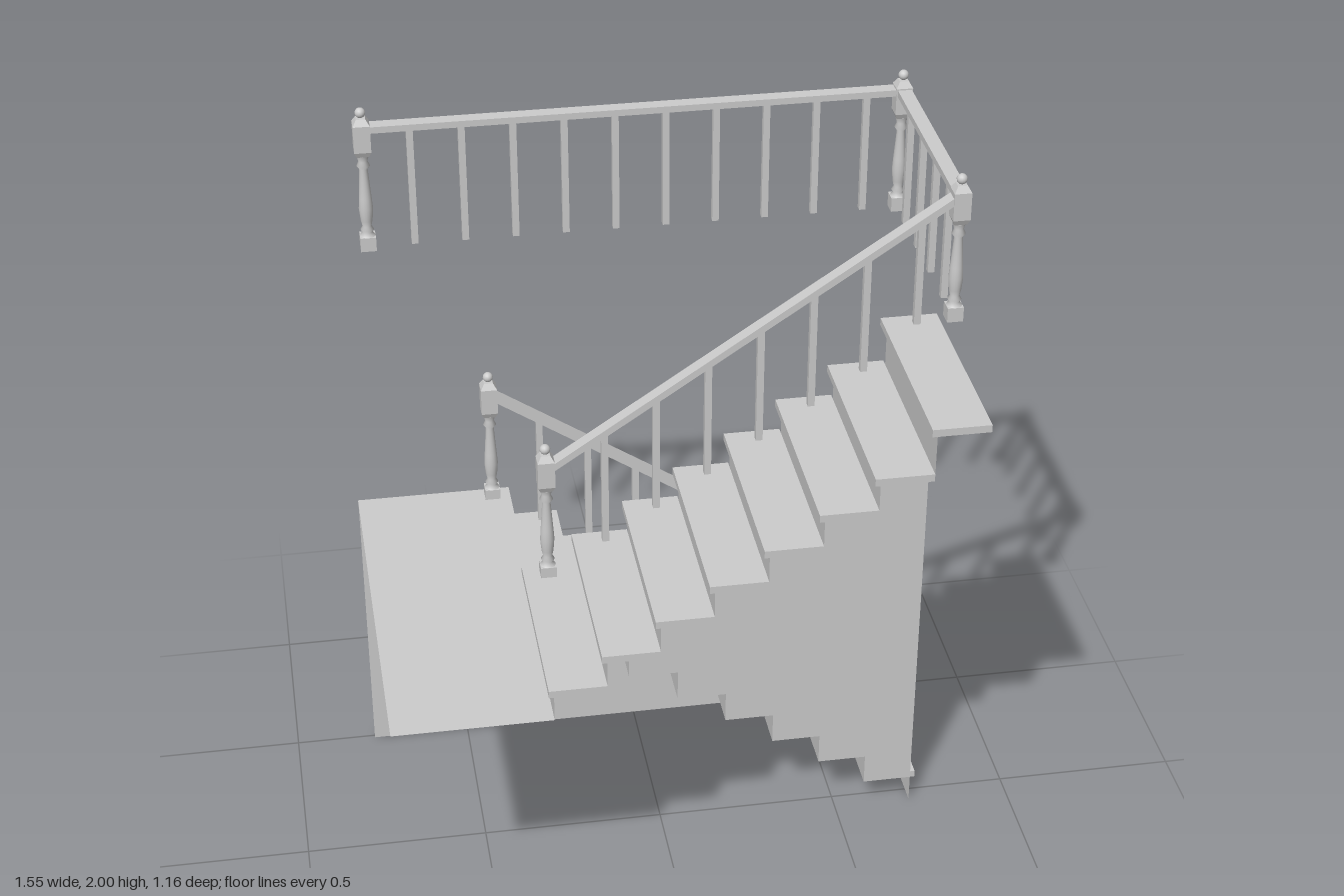
import * as THREE from 'three';

const mat = new THREE.MeshStandardMaterial({ color: 0xcccccc });
const sheetMat = new THREE.MeshStandardMaterial({ color: 0xcccccc, side: THREE.DoubleSide });

const RUN = 0.135, RISE = 0.0905, STEPS = 8, THICK = 0.02, NOSE = 0.013;
const RIGHT = 0.717, LEFT = -0.775;           // wall ends
const OUTER_Z = -0.49, INNER_Z = 0.045, FRONT_Z = 0.58;
const LANDING_X = RIGHT - RUN * STEPS, LANDING_Y = 0.825;

const lowerTop = i => 0.1 + RISE * i;
const upperTop = i => (i === STEPS - 1 ? 1.585 : 0.915 + RISE * i);

function add(parent, name, geometry, material = mat) {
  const mesh = new THREE.Mesh(geometry, material);
  mesh.name = name;
  parent.add(mesh);
  return mesh;
}

// Box given by its two extreme corners
function span(parent, name, [x0, y0, z0], [x1, y1, z1]) {
  const box = add(parent, name, new THREE.BoxGeometry(x1 - x0, y1 - y0, z1 - z0));
  box.position.set((x0 + x1) / 2, (y0 + y1) / 2, (z0 + z1) / 2);
}

// Upright sheet facing along x
function riser(parent, x, y0, y1, z0, z1) {
  const mesh = add(parent, 'riser', new THREE.PlaneGeometry(z1 - z0, y1 - y0), sheetMat);
  mesh.rotation.y = Math.PI / 2;
  mesh.position.set(x, (y0 + y1) / 2, (z0 + z1) / 2);
}

// Flat wall sheet from an outline in x, y
function wall(parent, name, points, z) {
  const shape = new THREE.Shape(points.map(p => new THREE.Vector2(...p)));
  add(parent, name, new THREE.ShapeGeometry(shape), sheetMat).position.z = z;
}

// Turned newel post with square base, square head and ball cap
function newel(parent, x, y, z) {
  const post = new THREE.Group();
  post.name = 'newelPost';
  post.position.set(x, y, z);
  span(post, 'newelBase', [-0.021, 0, -0.021], [0.021, 0.04, 0.021]);
  const profile = [[0.021, 0.04], [0.013, 0.05], [0.018, 0.058], [0.012, 0.068], [0.016, 0.085],
    [0.019, 0.12], [0.017, 0.15], [0.011, 0.235], [0.018, 0.245], [0.012, 0.258], [0.017, 0.275]];
  add(post, 'newelShaft', new THREE.LatheGeometry(profile.map(p => new THREE.Vector2(...p)), 16), sheetMat);
  // square head with tapered ends
  const r = 0.0225 * Math.SQRT2;
  [[r, r * 0.7, 0.275, 0.29], [r, r, 0.29, 0.365], [r * 0.55, r, 0.365, 0.382]].forEach(([top, bottom, y0, y1]) => {
    const g = new THREE.CylinderGeometry(top, bottom, y1 - y0, 4).toNonIndexed();
    g.computeVertexNormals();
    g.rotateY(Math.PI / 4);
    add(post, 'newelHead', g).position.y = (y0 + y1) / 2;
  });
  add(post, 'newelBall', new THREE.SphereGeometry(0.014, 14, 10)).position.y = 0.396;
  parent.add(post);
}

// Handrail between two points
function rail(parent, a, b) {
  const p = new THREE.Vector3(...a), q = new THREE.Vector3(...b);
  const mesh = add(parent, 'handrail', new THREE.BoxGeometry(0.038, 0.018, p.distanceTo(q)));
  mesh.position.copy(p).lerp(q, 0.5);
  mesh.lookAt(q);
}

function baluster(parent, x, z, y0, y1) {
  const h = 0.009;
  span(parent, 'baluster', [x - h, y0, z - h], [x + h, y1, z + h]);
}

function group(root, name) {
  const g = new THREE.Group();
  g.name = name;
  root.add(g);
  return g;
}

export function createModel() {
  const root = new THREE.Group();
  root.name = 'staircase';
  const lower = group(root, 'lowerFlight'), upper = group(root, 'upperFlight');
  const landing = group(root, 'landing'), walls = group(root, 'walls');
  const lowerRailing = group(root, 'lowerRailing'), upperRailing = group(root, 'upperRailing');
  const gallery = group(root, 'galleryRailing');

  // Treads and risers, collecting the stepped outlines for the walls
  const lowerLine = [[RIGHT, 0]], upperLine = [[LANDING_X, LANDING_Y]];
  for (let i = 0; i < STEPS; i++) {
    const lx = RIGHT - RUN * i, ly = lowerTop(i);
    span(lower, 'tread', [lx - RUN, ly - THICK, OUTER_Z - 0.02], [lx + NOSE, ly, INNER_Z]);
    riser(lower, lx, i ? lowerTop(i - 1) : 0, ly - THICK / 2, OUTER_Z, INNER_Z);
    lowerLine.push([lx, ly - 0.005], [lx - RUN, ly - 0.005]);

    const ux = LANDING_X + RUN * i, uy = upperTop(i);
    span(upper, 'tread', [ux - NOSE, uy - THICK, INNER_Z - 0.021], [ux + RUN, uy, FRONT_Z]);
    riser(upper, ux, i ? upperTop(i - 1) : LANDING_Y, uy - THICK / 2, INNER_Z, FRONT_Z);
    upperLine.push([ux, uy - 0.005], [ux + RUN, uy - 0.005]);
  }
  riser(lower, LANDING_X, lowerTop(STEPS - 1), LANDING_Y, OUTER_Z, INNER_Z);

  // Landing floor with nosing along the flight and the outer edge
  const floor = add(landing, 'landingFloor',
    new THREE.PlaneGeometry(LANDING_X - LEFT, FRONT_Z - OUTER_Z), sheetMat);
  floor.rotation.x = -Math.PI / 2;
  floor.position.set((LEFT + LANDING_X) / 2, LANDING_Y, (OUTER_Z + FRONT_Z) / 2);
  span(landing, 'landingSideNosing', [LEFT, LANDING_Y - THICK, OUTER_Z - 0.02],
    [LANDING_X + NOSE, LANDING_Y, OUTER_Z]);
  span(landing, 'landingFrontNosing', [LANDING_X, LANDING_Y - THICK, OUTER_Z],
    [LANDING_X + NOSE, LANDING_Y, INNER_Z]);

  // Outer wall under the lower flight, inner wall between both flights
  wall(walls, 'outerWall', [...lowerLine, [LANDING_X, LANDING_Y - 0.005], [LEFT, LANDING_Y - 0.005], [LEFT, 0]], OUTER_Z);
  wall(walls, 'innerWall', [...lowerLine, ...upperLine], INNER_Z);

  // Lower railing
  const lz = -0.475;
  newel(lowerRailing, 0.69, 0.1, lz);
  newel(lowerRailing, -0.4, 0.815, lz);
  rail(lowerRailing, [0.69, 0.435, lz], [-0.4, 1.16, lz]);
  for (let i = 1; i < STEPS; i++) {
    const x = 0.682 - RUN * i;
    baluster(lowerRailing, x, lz, lowerTop(i) - 0.015, 0.435 + (0.69 - x) * 0.665);
  }

  // Upper railing
  const uz = 0.063;
  newel(upperRailing, -0.31, 0.905, uz);
  newel(upperRailing, 0.75, 1.59, uz);
  rail(upperRailing, [-0.31, 1.24, uz], [0.75, 1.945, uz]);
  for (let i = 1; i < STEPS; i++) {
    const x = -0.291 + RUN * i;
    baluster(upperRailing, x, uz, 0.9 + RISE * i, 1.24 + (x + 0.31) * 0.665);
  }

  // Gallery railing along the back and the side
  const gz = -0.56, gy = 1.942;
  newel(gallery, 0.75, 1.59, gz);
  newel(gallery, -0.698, 1.59, gz);
  rail(gallery, [-0.698, gy, gz], [0.75, gy, gz]);
  rail(gallery, [0.75, gy, gz], [0.75, gy, uz]);
  for (let i = 0; i < 10; i++) baluster(gallery, -0.573 + 0.136 * i, gz, 1.597, gy);
  for (let i = 0; i < 4; i++) baluster(gallery, 0.75, -0.04 - 0.14 * i, 1.597, gy);

  return root;
}
